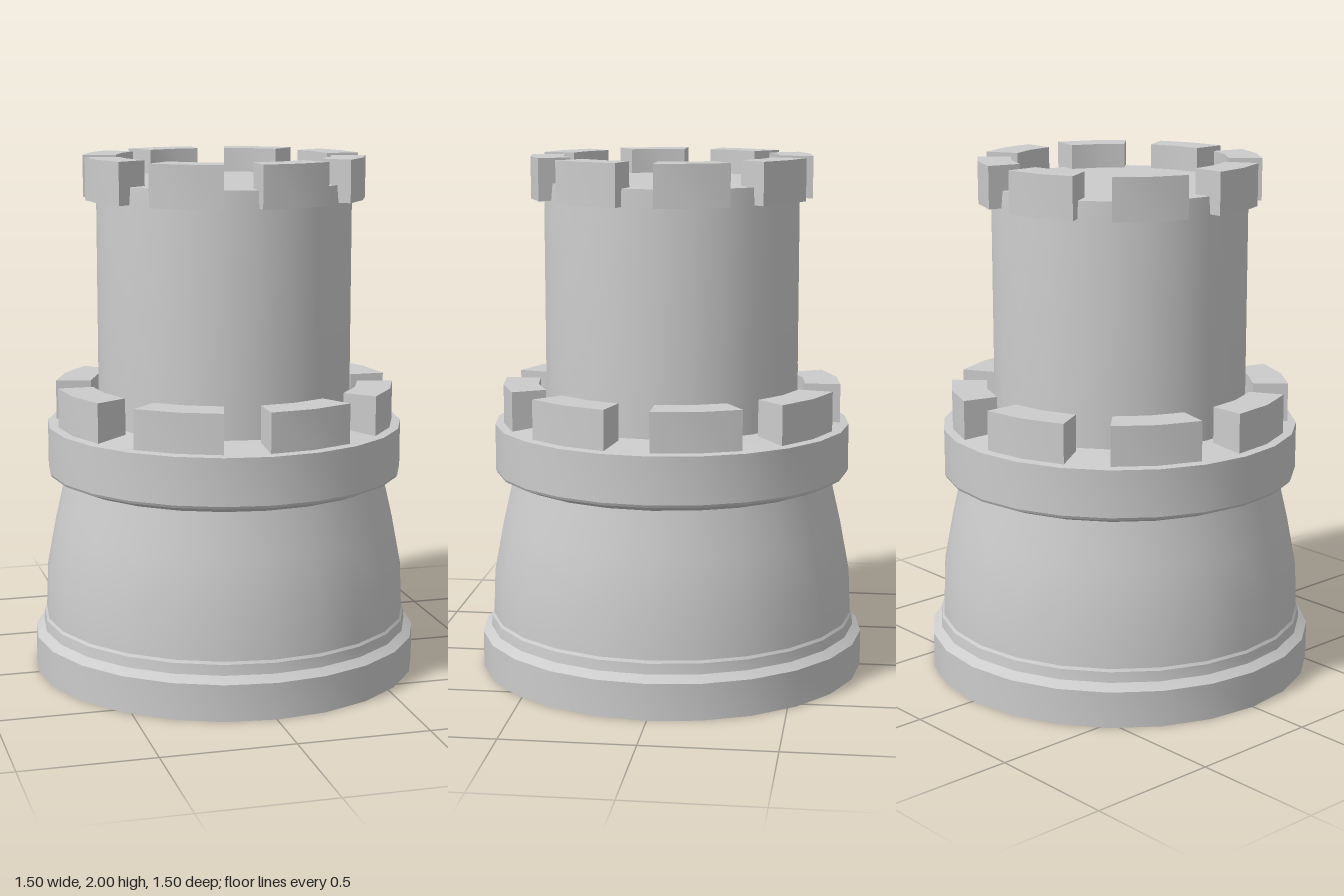
import * as THREE from 'three';
import { toCreasedNormals } from 'three/addons/utils/BufferGeometryUtils.js';

const SIDES = 24;
const STEP = (Math.PI * 2) / SIDES;

export function createModel() {
  const model = new THREE.Group();
  model.name = 'castleTower';
  const stone = new THREE.MeshStandardMaterial({ color: 0xcccccc });

  function add(parent, name, geometry) {
    const mesh = new THREE.Mesh(toCreasedNormals(geometry, 0.45), stone);
    mesh.name = name;
    parent.add(mesh);
    return mesh;
  }

  // Turned part from [radius, height] pairs, listed bottom to top
  function turned(name, profile) {
    const points = profile.map(([r, y]) => new THREE.Vector2(r, y));
    return add(model, name, new THREE.LatheGeometry(points, SIDES));
  }

  // Ring of eight blocks, each two facets wide with a one-facet gap
  function battlement(name, inner, outer, bottom, top) {
    const ring = new THREE.Group();
    ring.name = name;
    const corners = [];
    for (let i = 0; i <= 2; i++) corners.push([outer, i]);
    for (let i = 2; i >= 0; i--) corners.push([inner, i]);
    const shape = new THREE.Shape(
      corners.map(([r, i]) => new THREE.Vector2(r * Math.cos(i * STEP), r * Math.sin(i * STEP)))
    );
    const block = new THREE.ExtrudeGeometry(shape, { depth: top - bottom, bevelEnabled: false });
    block.rotateX(-Math.PI / 2);
    block.translate(0, bottom, 0);
    for (let k = 0; k < 8; k++) add(ring, 'merlon', block).rotation.y = k * 3 * STEP;
    model.add(ring);
  }

  // Plinth, flared base, collar and upper tower in one turned body
  turned('towerBody', [
    [0, 0], [0.75, 0], [0.75, 0.14], [0.718, 0.165], [0.714, 0.205], [0.707, 0.215],
    [0.7, 0.39], [0.664, 0.58], [0.624, 0.755],
    [0.685, 0.78], [0.69, 0.79], [0.69, 0.97],
    [0.49, 0.99], [0.49, 1.84], [0.484, 1.905], [0, 1.91],
  ]);

  battlement('lowerBattlement', 0.52, 0.656, 0.965, 1.125);
  battlement('upperBattlement', 0.412, 0.54, 1.84, 2);

  return model;
}
